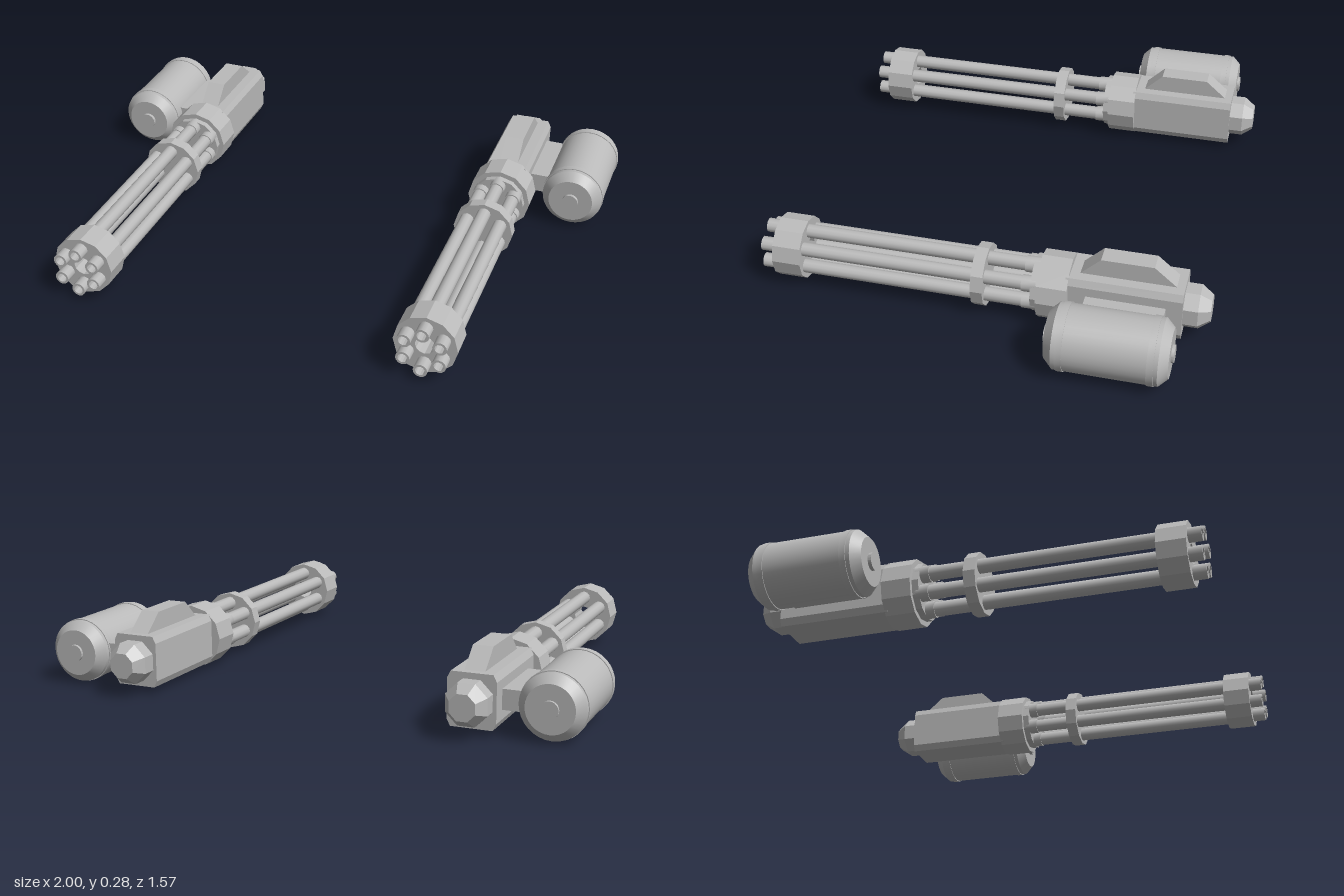
import * as THREE from 'three';
import { toCreasedNormals } from 'three/addons/utils/BufferGeometryUtils.js';

const metal = new THREE.MeshStandardMaterial({ color: 0xbababa });
metal.name = 'light grey metal';

const GUN_X = 0.628, DRUM_X = 0.885, AXIS_Y = 0.12;

function part(name, geometry, parent, x = 0, y = 0) {
  const mesh = new THREE.Mesh(geometry, metal);
  mesh.name = name;
  mesh.position.set(x, y, 0);
  parent.add(mesh);
}

// Turned solid along z; profile is [radius, z] pairs from back to front
function turned(profile, sides, crease, turn = 0) {
  const points = profile.map(([r, z]) => new THREE.Vector2(r, z));
  const g = new THREE.LatheGeometry(points, sides, turn).rotateX(Math.PI / 2);
  return toCreasedNormals(g, crease);
}

const disc = (r, z0, z1, sides, crease = 0.2) => turned([[0, z0], [r, z0], [r, z1], [0, z1]], sides, crease);

function extruded(corners, depth) {
  const shape = new THREE.Shape(corners.map(([x, y]) => new THREE.Vector2(x, y)));
  return new THREE.ExtrudeGeometry(shape, { depth, bevelEnabled: false });
}

function createGun(side) {
  const gun = new THREE.Group();
  gun.name = side > 0 ? 'leftGun' : 'rightGun';
  gun.position.set(side * GUN_X, AXIS_Y, 0);

  // Six hollow barrels with sleeves at the breech
  const barrel = turned([[0.025, -0.22], [0.025, 0.783], [0.017, 0.783], [0.017, 0.74], [0, 0.74]], 12, 0.7);
  const sleeve = disc(0.029, -0.2, -0.15, 12, 0.7);
  for (let i = 0; i < 6; i++) {
    const a = Math.PI / 2 + i * Math.PI / 3;
    const x = 0.071 * Math.cos(a), y = 0.071 * Math.sin(a);
    part('barrel', barrel, gun, x, y);
    part('barrelSleeve', sleeve, gun, x, y);
  }

  // Clamps holding the barrels, the front one with an open centre
  part('muzzleClamp', turned([[0.035, 0.635], [0.111, 0.635], [0.111, 0.736], [0.035, 0.736], [0.035, 0.635]], 12, 0.2), gun);
  part('middleClamp', disc(0.11, -0.019, 0.023, 12), gun);

  // Breech collar
  part('collar', disc(0.118, -0.31, -0.205, 12), gun);
  part('collarStep', disc(0.1, -0.205, -0.182, 12), gun);

  // Receiver with narrow chamfers along its corners
  const w = 0.084, h = 0.092, cx = 0.072, cy = 0.068;
  const body = extruded([[cx, -h], [w, -cy], [w, cy], [cx, h], [-cx, h], [-w, cy], [-w, -cy], [-cx, -h]], 0.395);
  part('receiver', body.translate(0, 0, -0.695), gun);

  // Tapered eight-sided rear cap
  part('rearCap', turned([[0, -0.785], [0.048, -0.785], [0.077, -0.745], [0.077, -0.69], [0, -0.69]], 8, 0.2, Math.PI / 8), gun);

  // Sloped ridge on top of the receiver
  const ridge = extruded([[-0.675, 0.085], [-0.59, 0.157], [-0.41, 0.157], [-0.335, 0.085]], 0.07);
  part('topRidge', ridge.translate(0, 0, -0.035).rotateY(-Math.PI / 2), gun);

  // Bracket to the ammunition drum
  part('drumBracket', new THREE.BoxGeometry(0.12, 0.07, 0.27).translate(0, 0, -0.505), gun, side * 0.125);

  // Ammunition drum with chamfered ends, hoops and end bosses
  const drum = new THREE.Group();
  drum.name = 'ammunitionDrum';
  drum.position.x = side * (DRUM_X - GUN_X);
  gun.add(drum);
  part('drumShell', turned([[0, -0.69], [0.083, -0.69], [0.112, -0.66], [0.112, -0.315], [0.083, -0.285], [0, -0.285]], 32, 0.5), drum);
  for (const z of [-0.635, -0.34]) part('drumHoop', disc(0.115, z - 0.011, z + 0.011, 32, 0.5), drum);
  part('drumBoss', disc(0.03, -0.7, -0.273, 20, 0.5), drum);
  return gun;
}

export function createModel() {
  const model = new THREE.Group();
  model.name = 'rotaryGunPair';
  for (const side of [1, -1]) model.add(createGun(side));
  return model;
}
